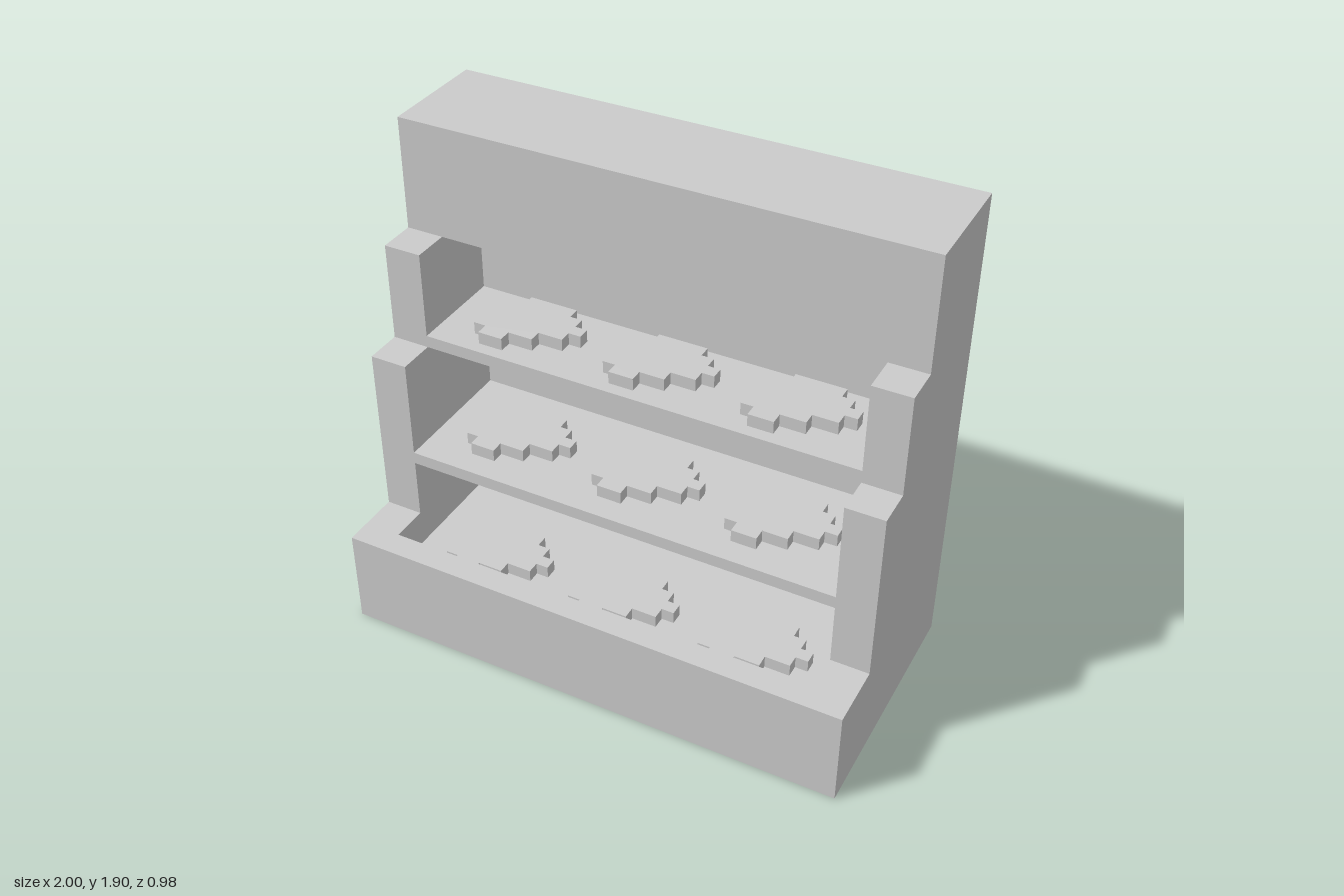
import * as THREE from 'three';

// Everything is laid out on a grid of square units: 41 wide, 39 high, 20 deep
const U = 2 / 41;
const INNER = 17.5, OUTER = 20.5;

export function createModel() {
  const group = new THREE.Group();
  group.name = 'bakeryDisplay';
  const material = new THREE.MeshStandardMaterial({ color: 0xcccccc, flatShading: true });

  const add = (name, geometry, x = 0, y = 0, z = 0) => {
    const mesh = new THREE.Mesh(geometry, material);
    mesh.name = name;
    mesh.position.set(x * U, y * U, z * U);
    group.add(mesh);
  };
  const extrude = (points, depth) => new THREE.ExtrudeGeometry(
    new THREE.Shape(points.map(([a, b]) => new THREE.Vector2(a * U, b * U))),
    { depth: depth * U, bevelEnabled: false });
  // Board spanning between the side walls
  const board = (name, y0, y1, z0, z1) => add(name,
    new THREE.BoxGeometry(2 * INNER * U, (y1 - y0) * U, (z1 - z0) * U),
    0, (y0 + y1) / 2, (z0 + z1) / 2);

  // Stepped side walls, profile given as (-z, y)
  const profile = [[-10, 0], [10, 0], [10, 39], [1, 39], [1, 30], [-2, 30],
    [-2, 22], [-5, 22], [-5, 8], [-10, 8]];
  const wall = extrude(profile, OUTER - INNER).rotateY(Math.PI / 2);
  add('leftWall', wall, INNER);
  add('rightWall', wall, -OUTER);

  // Carcass and shelves
  board('backPanel', 0, 39, -10, -6);
  board('header', 30, 39, -6, -1);
  board('base', 0, 5, -6, 8);
  board('frontPanel', 0, 8, 8, 10);
  board('lowerShelf', 13, 14, -6, 5);
  board('upperShelf', 22, 23, -6, 2);

  // Stepped loaf: start and end column of each row, from front to back
  const rows = [[1, 3], [0, 5], [0, 7], [0, 8], [1, 7], [2, 6]];
  const right = rows.flatMap(([, b], i) => [[b, i], [b, i + 1]]);
  const left = rows.flatMap(([a], i) => [[a, i], [a, i + 1]]).reverse();
  const outline = [...right, ...left].filter(([x, y], i, all) => {
    // drop points in the middle of straight edges and doubled points
    const [px, py] = all[(i + all.length - 1) % all.length];
    const [nx, ny] = all[(i + 1) % all.length];
    const same = x === px && y === py;
    return !same && !(x === px && x === nx) && !(y === py && y === ny);
  });
  const loaf = extrude(outline, 1).rotateX(-Math.PI / 2);

  // Three loaves on each level: [height, front edge]
  for (const [y, z] of [[5, 7], [14, 3], [23, 1]])
    for (const x of [-14.5, -3.5, 7.5]) add('loaf', loaf, x, y, z);

  return group;
}
